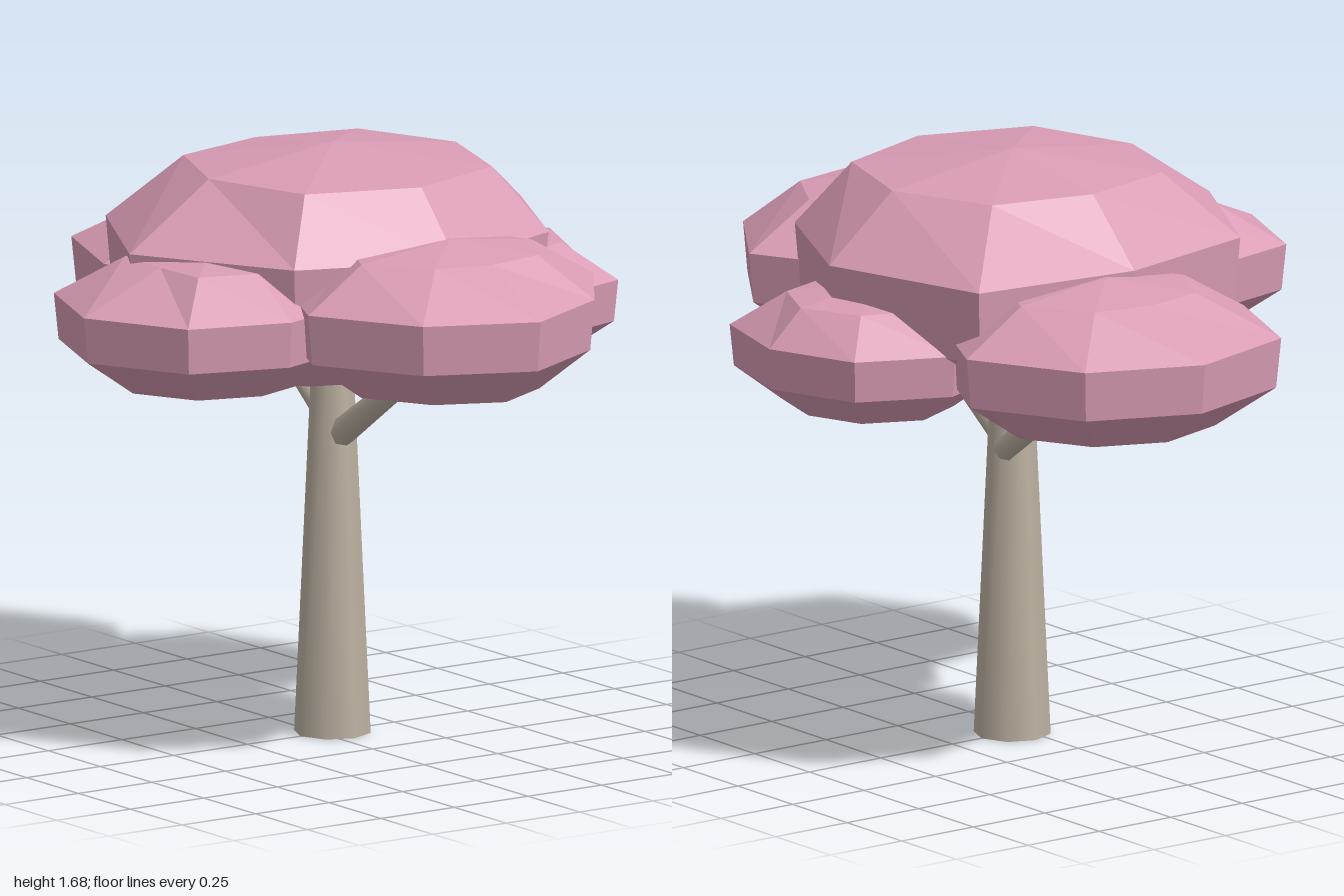
import * as THREE from 'three';

const foliage = new THREE.MeshStandardMaterial({ color: 0xd99cb5, flatShading: true });
foliage.name = 'pink foliage';
const bark = new THREE.MeshStandardMaterial({ color: 0xbdb2a2 });
bark.name = 'pale bark';

// Faceted clump: four rings of eight corners between two poles.
// radii run from +x towards +z; crown is the list for the topmost ring.
function clump(name, [x, y, z], height, radii, crown) {
  const pos = [x, y + height, z];
  const levels = [0.84, 0.31, -0.31, -0.81];
  const widths = [0, 1, 0.97, 0.62];
  levels.forEach((level, i) => {
    for (let j = 0; j < 8; j++) {
      const a = (j * Math.PI) / 4;
      const r = i === 0 ? crown[j] : radii[j] * widths[i];
      pos.push(x + r * Math.cos(a), y + level * height, z + r * Math.sin(a));
    }
  });
  pos.push(x, y - height, z);
  const at = (ring, j) => 1 + ring * 8 + (j % 8);
  const index = [];
  for (let j = 0; j < 8; j++) {
    index.push(0, at(0, j + 1), at(0, j));
    for (let i = 0; i < 3; i++) {
      const a = at(i, j), b = at(i, j + 1), c = at(i + 1, j + 1), d = at(i + 1, j);
      index.push(a, b, d, b, c, d);
    }
    index.push(at(3, j), at(3, j + 1), 33);
  }
  const geo = new THREE.BufferGeometry();
  geo.setAttribute('position', new THREE.Float32BufferAttribute(pos, 3));
  geo.setIndex(index);
  geo.computeVertexNormals();
  const mesh = new THREE.Mesh(geo, foliage);
  mesh.name = name;
  return mesh;
}

// Tapered eight-sided limb between two points.
function limb(name, from, to, r0, r1) {
  const a = new THREE.Vector3(...from), b = new THREE.Vector3(...to);
  const dir = b.clone().sub(a);
  const mesh = new THREE.Mesh(new THREE.CylinderGeometry(r1, r0, dir.length(), 8), bark);
  mesh.position.copy(a).add(b).multiplyScalar(0.5);
  mesh.quaternion.setFromUnitVectors(new THREE.Vector3(0, 1, 0), dir.normalize());
  mesh.name = name;
  return mesh;
}

export function createModel() {
  const tree = new THREE.Group();
  tree.name = 'tree';

  // Trunk and its two forks
  tree.add(
    limb('trunk', [0, 0, -0.04], [0, 1.08, -0.04], 0.108, 0.058),
    limb('leftBranch', [0.03, 0.85, -0.04], [0.42, 1.11, -0.04], 0.042, 0.032),
    limb('rightBranch', [-0.03, 0.83, -0.09], [-0.4, 1.08, -0.11], 0.036, 0.03),
  );

  // Crown: one broad clump with four smaller ones around it
  tree.add(
    clump('mainFoliage', [0, 1.34, -0.04], 0.34,
      [0.6, 0.62, 0.69, 0.64, 0.56, 0.7, 0.64, 0.61],
      [0.43, 0.45, 0.42, 0.42, 0.37, 0.42, 0.42, 0.45]),
    clump('rightFoliage', [-0.55, 1.21, -0.13], 0.23,
      [0.43, 0.45, 0.48, 0.49, 0.45, 0.45, 0.49, 0.46],
      [0.25, 0.26, 0.27, 0.25, 0.21, 0.25, 0.3, 0.28]),
    clump('leftFoliage', [0.55, 1.27, -0.05], 0.23,
      [0.44, 0.43, 0.48, 0.46, 0.42, 0.45, 0.49, 0.41],
      [0.21, 0.23, 0.3, 0.28, 0.24, 0.28, 0.28, 0.25]),
    clump('frontFoliage', [0.12, 1.25, 0.45], 0.21,
      [0.38, 0.41, 0.44, 0.45, 0.39, 0.4, 0.42, 0.4],
      [0.22, 0.24, 0.18, 0.25, 0.23, 0.24, 0.25, 0.24]),
    clump('backFoliage', [0, 1.18, -0.53], 0.19,
      [0.37, 0.37, 0.36, 0.37, 0.38, 0.37, 0.36, 0.4],
      [0.22, 0.23, 0.23, 0.23, 0.23, 0.24, 0.25, 0.24]),
  );
  return tree;
}
